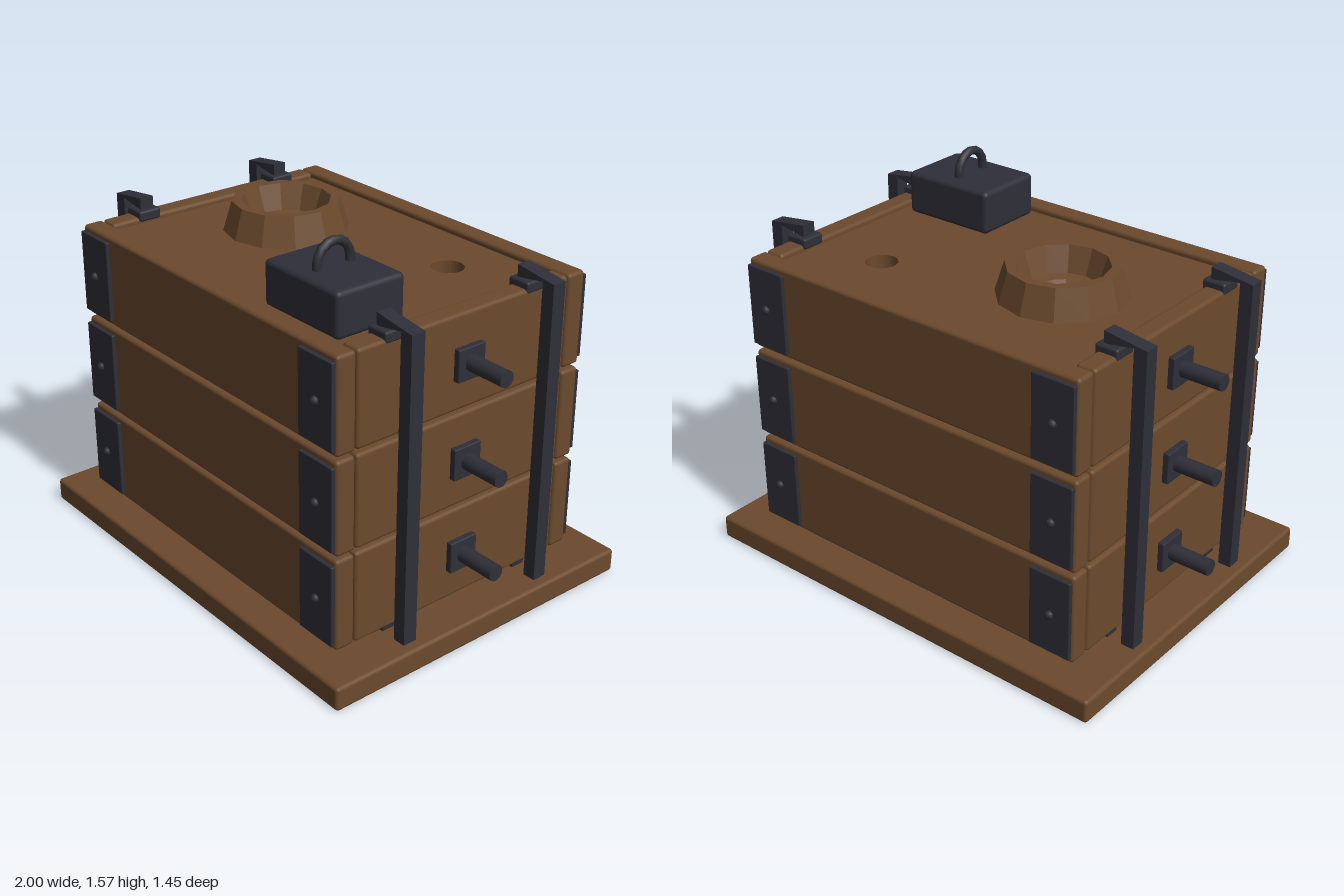
import * as THREE from 'three';
import { RoundedBoxGeometry } from 'three/addons/geometries/RoundedBoxGeometry.js';

export function createModel() {
  const wood = new THREE.MeshStandardMaterial({ color: 0x6b4a2d });
  wood.name = 'brown wood and sand';
  const iron = new THREE.MeshStandardMaterial({ color: 0x2f2f39 });
  iron.name = 'dark iron';

  const model = new THREE.Group();
  model.name = 'mouldingFlask';

  const add = (parent, name, geometry, material, x = 0, y = 0, z = 0) => {
    const mesh = new THREE.Mesh(geometry, material);
    mesh.name = name;
    mesh.position.set(x, y, z);
    parent.add(mesh);
    return mesh;
  };
  const rounded = (w, h, d, r) => new RoundedBoxGeometry(w, h, d, 2, r);
  const faceted = (geometry) => {
    const g = geometry.toNonIndexed();
    g.computeVertexNormals();
    return g;
  };

  // Base board
  add(model, 'baseBoard', rounded(1.915, 0.1, 1.45, 0.015), wood, 0, 0.05, 0);

  // Three stacked frames, with corner plates, rivets and side handles
  const frameHeight = 0.385;
  const longPlank = rounded(1.6, frameHeight, 0.086, 0.015);
  const shortPlank = rounded(0.086, frameHeight, 1.02, 0.015);
  const plate = rounded(0.185, 0.34, 0.018, 0.004);
  const rivet = new THREE.SphereGeometry(0.018, 10, 8);
  const boss = rounded(0.028, 0.13, 0.13, 0.005);
  const rod = new THREE.CylinderGeometry(0.033, 0.033, 0.2, 16).rotateZ(Math.PI / 2);
  for (let i = 0; i < 3; i++) {
    const frame = new THREE.Group();
    frame.name = 'frame' + (i + 1);
    frame.position.y = 0.3075 + 0.4 * i;
    model.add(frame);
    for (const s of [-1, 1]) {
      add(frame, 'longPlank', longPlank, wood, 0, 0, s * 0.557);
      add(frame, 'shortPlank', shortPlank, wood, s * 0.757, 0, 0);
      add(frame, 'handlePlate', boss, iron, s * 0.814, 0, 0);
      add(frame, 'handleRod', rod, iron, s * 0.9, 0, 0);
      for (const t of [-1, 1]) {
        add(frame, 'cornerPlate', plate, iron, t * 0.7, 0, s * 0.608);
        add(frame, 'rivet', rivet, iron, t * 0.703, 0, s * 0.618);
      }
    }
    if (i < 2) add(frame, 'sandFill', new THREE.BoxGeometry(1.44, 0.36, 1.04), wood);
  }

  // Top sand bed, pierced by the pouring hole and the vent
  const bed = new THREE.Shape([[-0.72, -0.52], [0.72, -0.52], [0.72, 0.52], [-0.72, 0.52]]
    .map(([x, y]) => new THREE.Vector2(x, y)));
  for (const [x, y, r] of [[-0.315, 0.055, 0.09], [0.41, 0.265, 0.065]]) {
    bed.holes.push(new THREE.Path().absarc(x, y, r, 0, Math.PI * 2, true));
  }
  const bedGeometry = new THREE.ExtrudeGeometry(bed, { depth: 0.35, bevelEnabled: false, curveSegments: 16 });
  add(model, 'topSand', bedGeometry.rotateX(-Math.PI / 2), wood, 0, 0.925, 0);

  // Pouring cup
  const cup = [[0.257, 0], [0.22, 0.123], [0.182, 0.123], [0.145, 0.02], [0.105, 0.012], [0.09, 0]]
    .map(([r, y]) => new THREE.Vector2(r, y));
  add(model, 'pouringCup', faceted(new THREE.LatheGeometry(cup, 12)), wood, -0.315, 1.275, -0.055);

  // Weight with a looped handle
  const weight = new THREE.Group();
  weight.name = 'weight';
  weight.position.set(0.465, 1.275, 0.34);
  model.add(weight);
  add(weight, 'weightBlock', rounded(0.413, 0.18, 0.306, 0.02), iron, 0, 0.09, 0);
  const loop = new THREE.TorusGeometry(0.075, 0.018, 8, 8, Math.PI).rotateY(Math.PI / 2);
  add(weight, 'weightHandle', loop, iron, 0, 0.198, 0);
  for (const s of [-1, 1]) {
    add(weight, 'handleLeg', new THREE.CylinderGeometry(0.018, 0.018, 0.04, 8), iron, 0, 0.18, s * 0.075);
  }

  // Four side clamps: upright with a wedge arm resting on a pad
  const profile = [[0.855, 0.1], [0.91, 0.1], [0.91, 1.35], [0.73, 1.375], [0.73, 1.325], [0.855, 1.345]];
  for (const s of [-1, 1]) {
    const shape = new THREE.Shape(profile.map(([x, y]) => new THREE.Vector2(s * x, y)));
    const clamp = new THREE.ExtrudeGeometry(shape, { depth: 0.06, bevelEnabled: false });
    for (const z of [-0.34, 0.34]) {
      add(model, 'clamp', clamp, iron, 0, 0, z - 0.03);
      add(model, 'clampPad', rounded(0.098, 0.045, 0.1, 0.01), iron, s * 0.754, 1.305, z);
      add(model, 'clampFoot', new THREE.BoxGeometry(0.065, 0.02, 0.06), iron, s * 0.76, 0.108, z);
    }
  }
  return model;
}
